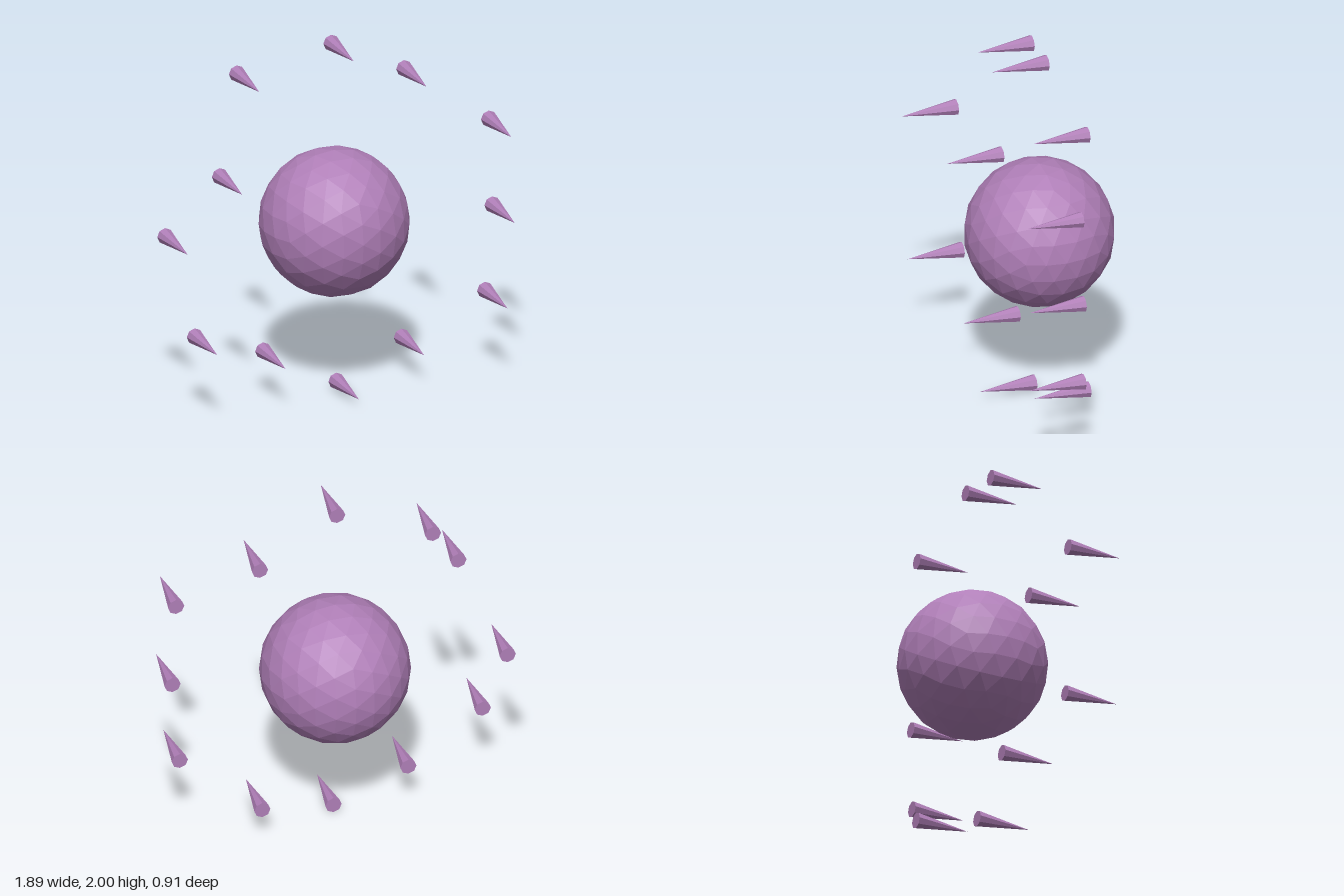
import * as THREE from 'three';

const RADIUS = 0.407; // central ball
const SPIKE_RADIUS = 0.045;
const SPIKE_LENGTH = 0.312;

// Spike positions around the ring: x, y, z of the base
const SPIKES = [
  [0.017, 1.955, -0.09],
  [0.465, 1.725, -0.15],
  [0.875, 1.445, 0.045],
  [0.897, 0.95, 0.04],
  [0.86, 0.463, 0.027],
  [0.455, 0.19, -0.16],
  [0.017, 0.05, -0.02],
  [-0.383, 0.26, -0.08],
  [-0.84, 0.455, 0.063],
  [-0.905, 0.95, -0.19],
  [-0.727, 1.38, 0.14],
  [-0.485, 1.815, -0.2],
];

// Icosphere: split every triangle in four, twice, pushing points to the sphere each time
function icosphere(radius) {
  const once = new THREE.IcosahedronGeometry(1, 1).getAttribute('position');
  const indices = Array.from({ length: once.count }, (_, i) => i);
  return new THREE.PolyhedronGeometry(Array.from(once.array), indices, radius, 1);
}

export function createModel() {
  const group = new THREE.Group();
  const material = new THREE.MeshStandardMaterial({ color: 0xb07fb8, flatShading: true });

  // Central ball
  const ball = new THREE.Mesh(icosphere(RADIUS), material);
  ball.name = 'ball';
  ball.position.set(0.017, 0.95, -0.048);
  group.add(ball);

  // Ring of spikes, base at z = 0 and tip towards the front
  const spikeGeometry = new THREE.ConeGeometry(SPIKE_RADIUS, SPIKE_LENGTH, 8)
    .translate(0, SPIKE_LENGTH / 2, 0)
    .rotateX(Math.PI / 2);
  const ring = new THREE.Group();
  ring.name = 'spikeRing';
  SPIKES.forEach(([x, y, z], i) => {
    const spike = new THREE.Mesh(spikeGeometry, material);
    spike.name = `spike${i + 1}`;
    spike.position.set(x, y, z);
    ring.add(spike);
  });
  group.add(ring);

  return group;
}
